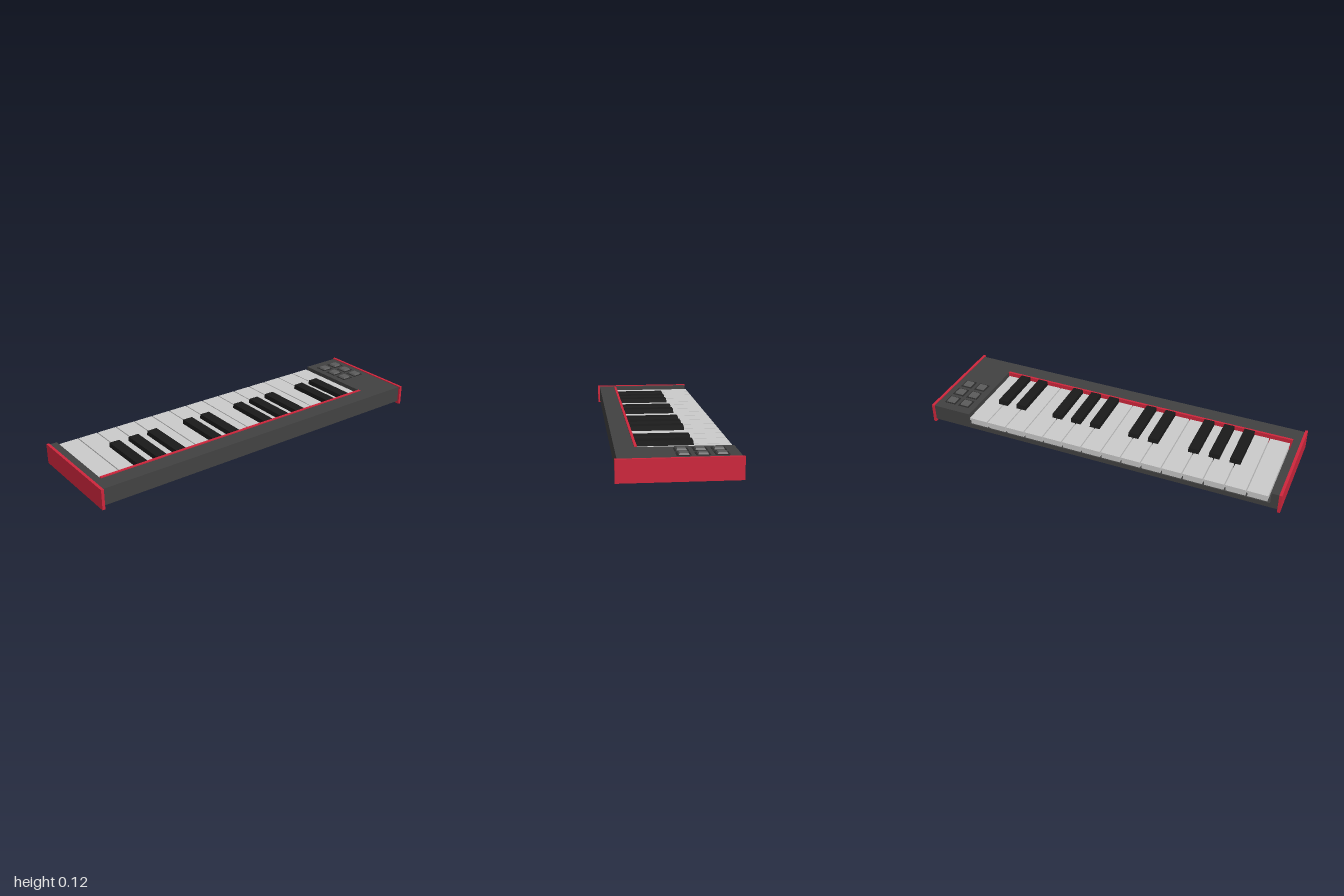
import * as THREE from 'three';

const material = (color) => new THREE.MeshStandardMaterial({ color, flatShading: true });
const MAT = {
  body: material(0x424242),
  dark: material(0x2b2b2b),
  black: material(0x1a1a1a),
  pad: material(0x5c5c5c),
  red: material(0xd0263c),
  white: material(0xcccccc),
};

// Box given by its minimum and maximum corners
function box(name, mat, [x0, y0, z0], [x1, y1, z1]) {
  const mesh = new THREE.Mesh(new THREE.BoxGeometry(x1 - x0, y1 - y0, z1 - z0), mat);
  mesh.position.set((x0 + x1) / 2, (y0 + y1) / 2, (z0 + z1) / 2);
  mesh.name = name;
  return mesh;
}

// Pulls in the upper edges of a box: sides by dx, back edge by dzBack, front edge by dzFront
function taperTop(mesh, dx, dzBack, dzFront) {
  const p = mesh.geometry.attributes.position;
  for (let i = 0; i < p.count; i++) {
    if (p.getY(i) < 0) continue;
    p.setX(i, p.getX(i) - Math.sign(p.getX(i)) * dx);
    p.setZ(i, p.getZ(i) + (p.getZ(i) < 0 ? dzBack : -dzFront));
  }
  mesh.geometry.computeVertexNormals();
  return mesh;
}

export function createModel() {
  const model = new THREE.Group();
  model.name = 'keyboard';

  const KEY_LEFT = -0.935, PITCH = 0.113, COUNT = 15;
  const KEY_RIGHT = KEY_LEFT + PITCH * COUNT;
  const KEY_END = 0.172, WHITE_TOP = 0.087;

  // Body: floor slab plus a U-shaped surround that leaves the key bed open at the back
  model.add(box('baseSlab', MAT.body, [-0.985, 0.015, -0.283], [0.985, 0.042, 0.278]));
  const outline = new THREE.Shape([
    [-0.985, -0.278], [0.985, -0.278], [0.985, 0.283], [KEY_RIGHT + 0.004, 0.283],
    [KEY_RIGHT + 0.004, -0.184], [-0.945, -0.184], [-0.945, 0.283], [-0.985, 0.283],
  ].map(([x, y]) => new THREE.Vector2(x, y)));
  const surroundGeometry = new THREE.ExtrudeGeometry(outline, { depth: 0.063, bevelEnabled: false });
  surroundGeometry.rotateX(-Math.PI / 2).translate(0, 0.042, 0);
  const surround = new THREE.Mesh(surroundGeometry, MAT.body);
  surround.name = 'surround';
  model.add(surround);

  // Side panels
  for (const [name, x] of [['rightPanel', -1], ['leftPanel', 0.985]]) {
    model.add(box(name, MAT.red, [x, 0, -0.289], [x + 0.015, 0.109, 0.289]));
  }

  // Strip between the keys and the front rail
  model.add(box('accentStrip', MAT.red, [-0.944, 0.042, KEY_END], [KEY_RIGHT + 0.003, 0.11, 0.185]));

  // White keys: top plate with a small lip over a set-back key body
  const whiteKeys = new THREE.Group();
  whiteKeys.name = 'whiteKeys';
  for (let i = 0; i < COUNT; i++) {
    const x0 = KEY_LEFT + i * PITCH + 0.003, x1 = x0 + PITCH - 0.006;
    const key = new THREE.Group();
    key.name = 'whiteKey';
    key.add(box('keyTop', MAT.white, [x0, WHITE_TOP - 0.014, -0.289], [x1, WHITE_TOP, KEY_END]));
    key.add(box('keyBody', MAT.white, [x0 + 0.002, 0.046, -0.281], [x1 - 0.002, WHITE_TOP - 0.014, KEY_END]));
    whiteKeys.add(key);
  }
  model.add(whiteKeys);

  // Black keys sit on the seams between white keys
  const blackKeys = new THREE.Group();
  blackKeys.name = 'blackKeys';
  for (const seam of [2, 3, 4, 6, 7, 9, 10, 11, 13, 14]) {
    const x = KEY_LEFT + seam * PITCH;
    const key = box('blackKey', MAT.black, [x - 0.03, 0.06, -0.111], [x + 0.03, 0.112, KEY_END]);
    blackKeys.add(taperTop(key, 0.002, 0.008, 0));
  }
  model.add(blackKeys);

  // Pads: dark frame with a tapered button
  const pads = new THREE.Group();
  pads.name = 'pads';
  for (const x of [0.832, 0.918]) {
    for (const z of [-0.198, -0.111, -0.024]) {
      pads.add(box('padFrame', MAT.dark, [x - 0.033, 0.1, z - 0.033], [x + 0.033, 0.107, z + 0.033]));
      const pad = box('pad', MAT.pad, [x - 0.025, 0.106, z - 0.025], [x + 0.025, 0.115, z + 0.025]);
      pads.add(taperTop(pad, 0.005, 0.005, 0.005));
    }
  }
  model.add(pads);

  return model;
}
